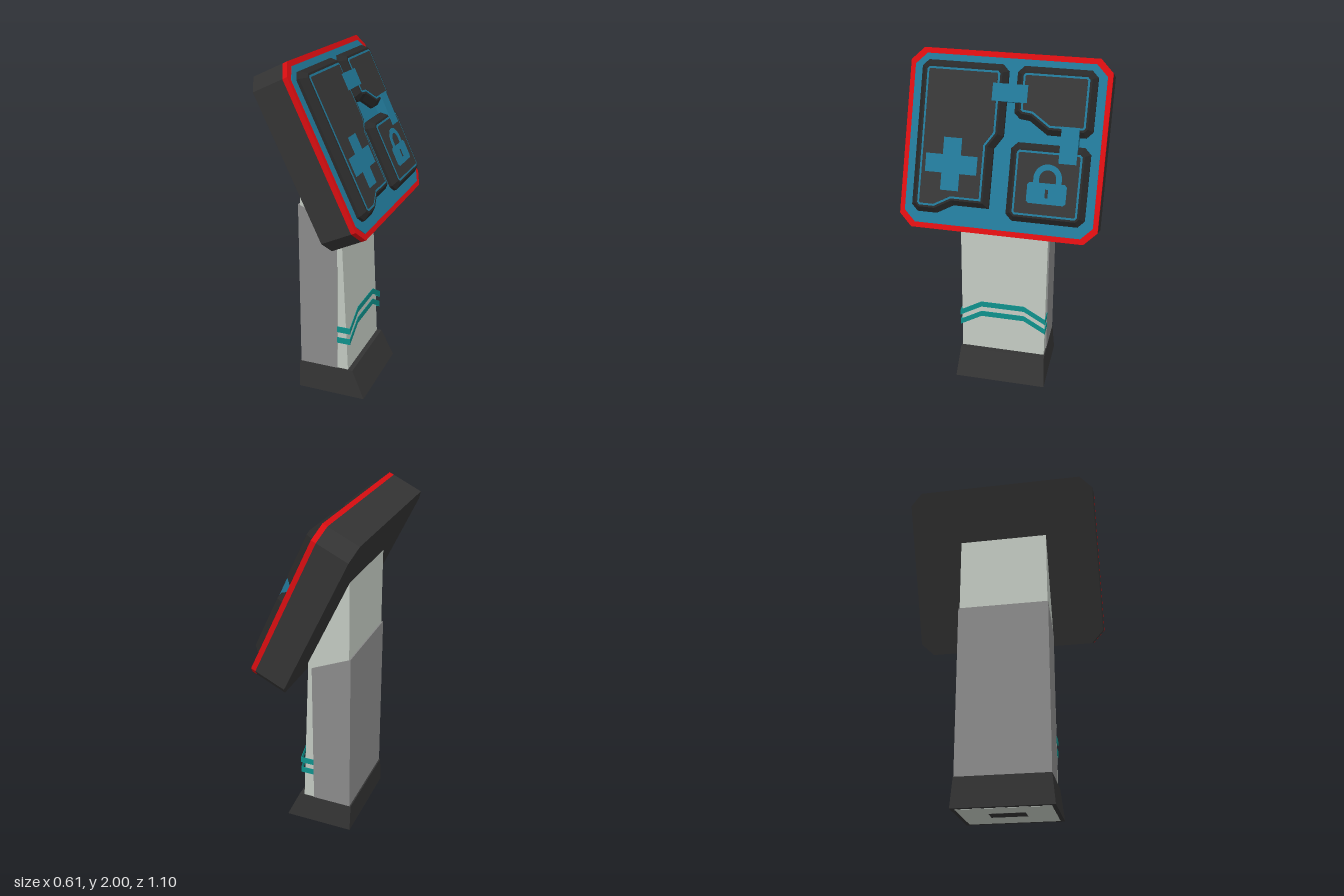
import * as THREE from 'three';

const mat = (name, color) => {
  const m = new THREE.MeshStandardMaterial({ color });
  m.name = name;
  return m;
};

const shapeOf = pts => new THREE.Shape(pts.map(p => new THREE.Vector2(p[0], p[1])));

// rectangle with cut corners
const octagon = (hx, hy, c) => [
  [-hx + c, -hy], [hx - c, -hy], [hx, -hy + c], [hx, hy - c],
  [hx - c, hy], [-hx + c, hy], [-hx, hy - c], [-hx, -hy + c]];

// flat slab of a shape between z0 and z1
function slab(shape, z0, z1) {
  const g = new THREE.ExtrudeGeometry(shape, { depth: z1 - z0, bevelEnabled: false, curveSegments: 12 });
  return g.translate(0, 0, z0);
}

// thin sheet of a shape shrunk inwards
function insetSheet(shape, inset, z) {
  const g = new THREE.ExtrudeGeometry(shape, {
    depth: 0.001, bevelEnabled: true, bevelThickness: 0.001, bevelSize: 0, bevelOffset: -inset, bevelSegments: 1 });
  return g.translate(0, 0, z - 0.002);
}

export function createModel() {
  const casing = mat('charcoal casing', 0x333333);
  const frame = mat('black frame', 0x292929);
  const panel = mat('dark panel', 0x353535);
  const red = mat('red trim', 0xd80d10);
  const blue = mat('screen blue', 0x217797);
  const teal = mat('teal stripe', 0x0f918c);
  const pale = mat('pale column', 0xc1c8c0);
  const grey = mat('grey cover', 0x8a8a8a);

  const model = new THREE.Group();
  const add = (parent, name, geo, material) => {
    const m = new THREE.Mesh(geo, material);
    m.name = name;
    parent.add(m);
    return m;
  };

  // base: box tapered towards the top on the front and the sides
  const baseGeo = new THREE.BoxGeometry(1, 1, 1);
  const p = baseGeo.attributes.position;
  for (let i = 0; i < p.count; i++) {
    const top = p.getY(i) > 0;
    p.setXYZ(i,
      p.getX(i) < 0 ? -0.19 : top ? 0.145 : 0.222,
      top ? 0.17 : 0.003,
      Math.sign(p.getZ(i)) * (top ? 0.263 : 0.278));
  }
  baseGeo.computeVertexNormals();
  add(model, 'base', baseGeo, casing);

  // underside plate with cable slot
  add(model, 'underside', new THREE.BoxGeometry(0.36, 0.004, 0.51), pale).position.set(0.015, 0.003, 0);
  add(model, 'cableSlot', new THREE.BoxGeometry(0.09, 0.004, 0.2), casing).position.set(0, 0.002, 0);

  // column and the cover around its rear
  const column = [[-0.172, 0.16], [0.116, 0.16], [0.07, 1.15], [-0.172, 1.66]];
  add(model, 'column', slab(shapeOf(column), -0.257, 0.257), pale);
  const cover = [[-0.182, 0.165], [0.05, 0.165], [0.05, 1.07], [-0.182, 1.17]];
  add(model, 'rearCover', slab(shapeOf(cover), -0.262, 0.262), grey);

  // two bent stripes wrapping the column
  for (const y of [0.34, 0.41]) {
    const h = 0.036;
    const bent = shapeOf([
      [-0.262, y], [-0.13, y + 0.08], [0.13, y + 0.08], [0.262, y],
      [0.262, y + h], [0.13, y + 0.08 + h], [-0.13, y + 0.08 + h], [-0.262, y + h]]);
    add(model, 'frontStripe', slab(bent, 0.127, 0.13).rotateY(Math.PI / 2), teal);
    for (const side of [-1, 1]) {
      add(model, 'sideStripe', new THREE.BoxGeometry(0.08, h, 0.004), teal)
        .position.set(0.09, y + h / 2, side * 0.26);
    }
  }

  // tilted head: local x runs across, y up the slope, z out of the screen
  const head = new THREE.Group();
  head.name = 'head';
  head.position.set(0.09, 1.555, 0);
  head.quaternion.setFromRotationMatrix(new THREE.Matrix4().makeBasis(
    new THREE.Vector3(0, 0, -1),
    new THREE.Vector3(-0.427, 0.904, 0).normalize(),
    new THREE.Vector3(0.904, 0.427, 0).normalize()));
  model.add(head);

  const outline = shapeOf(octagon(0.55, 0.492, 0.07));
  add(head, 'headCasing', slab(outline, -0.21, -0.028), casing);
  add(head, 'redTrim', slab(outline, -0.028, 0), red);
  add(head, 'screen', slab(shapeOf(octagon(0.523, 0.462, 0.062)), 0, 0.003), blue);

  // raised bevelled tiles with a blue line around a dark panel
  const tiles = [
    [[-0.478, -0.365], [-0.443, -0.4], [-0.335, -0.4], [-0.244, -0.35], [-0.048, -0.35], [-0.048, -0.024],
      [0, 0.046], [0, 0.391], [-0.035, 0.426], [-0.443, 0.426], [-0.478, 0.391]],
    [[0.048, 0.175], [0.08, 0.146], [0.135, 0.14], [0.235, 0.072], [0.442, 0.072], [0.477, 0.107],
      [0.477, 0.391], [0.442, 0.426], [0.083, 0.426], [0.048, 0.391]],
    octagon(0.2145, 0.2115, 0.035).map(([x, y]) => [x + 0.2625, y - 0.1885]),
  ];
  for (const pts of tiles) {
    const s = shapeOf(pts);
    const tile = new THREE.ExtrudeGeometry(s, {
      depth: 0.02, bevelEnabled: true, bevelThickness: 0.035, bevelSize: 0.028, bevelOffset: -0.028, bevelSegments: 1 });
    add(head, 'tileFrame', tile, frame);
    add(head, 'tileLine', insetSheet(s, 0.039, 0.057), blue);
    add(head, 'tilePanel', insetSheet(s, 0.05, 0.059), panel);
  }

  // links bridging the gaps between tiles
  add(head, 'upperLink', new THREE.BoxGeometry(0.19, 0.094, 0.062), blue).position.set(0.022, 0.276, 0.031);
  add(head, 'sideLink', new THREE.BoxGeometry(0.095, 0.194, 0.062), blue).position.set(0.361, 0.026, 0.031);

  // cross icon
  const a = 0.05, b = 0.143;
  const cross = [[-a, -b], [a, -b], [a, -a], [b, -a], [b, a], [a, a], [a, b], [-a, b], [-a, a], [-b, a], [-b, -a], [-a, -a]];
  add(head, 'crossIcon', slab(shapeOf(cross), 0.059, 0.062), blue).position.set(-0.265, -0.126, 0);

  // padlock icon: body, arched shackle and keyhole
  const lock = new THREE.Group();
  lock.name = 'padlockIcon';
  lock.position.set(0.265, -0.236, 0);
  head.add(lock);
  add(lock, 'lockBody', slab(shapeOf(octagon(0.106, 0.056, 0.012)), 0.059, 0.062), blue);
  const arch = new THREE.Shape();
  arch.moveTo(0.076, 0.05);
  arch.lineTo(0.076, 0.08);
  arch.absarc(0, 0.08, 0.076, 0, Math.PI, false);
  arch.lineTo(-0.076, 0.05);
  arch.lineTo(-0.045, 0.05);
  arch.lineTo(-0.045, 0.08);
  arch.absarc(0, 0.08, 0.045, Math.PI, 0, true);
  arch.lineTo(0.045, 0.05);
  add(lock, 'shackle', slab(arch, 0.059, 0.062), blue);
  add(lock, 'keyhole', new THREE.BoxGeometry(0.016, 0.045, 0.004), panel).position.set(0, 0, 0.061);

  return model;
}
